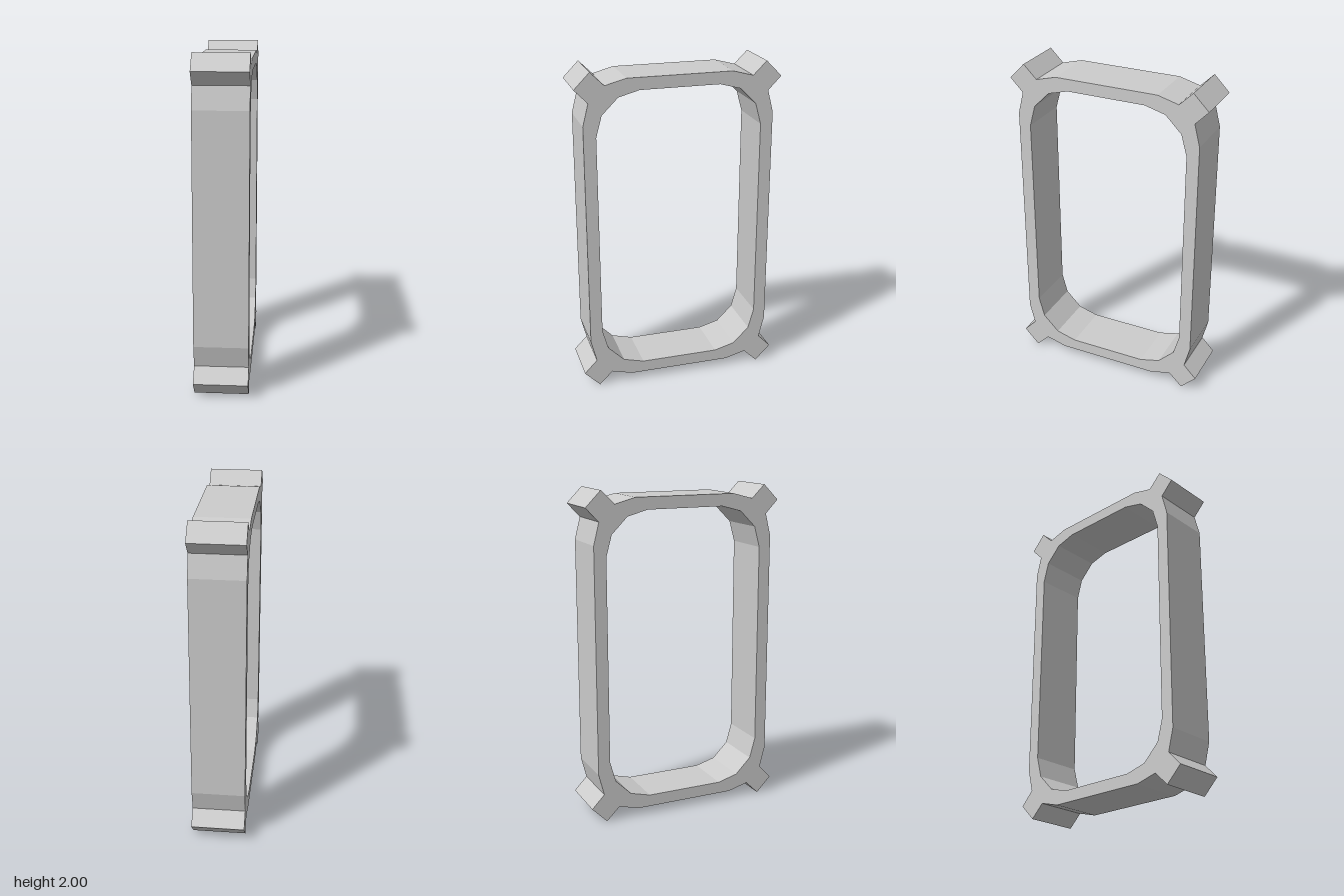
import * as THREE from 'three';

const WIDTH = 0.322;

// One corner of each contour as [z, y from centre], mirrored into all four quadrants.
const outerCorner = [[0.575, 0.69], [0.541, 0.823], [0.62, 0.905], [0.526, 1], [0.444, 0.919], [0.317, 0.953]];
const innerCorner = [[0.5, 0.621], [0.465, 0.748], [0.367, 0.846], [0.241, 0.88]];

function mirrorCorner(corner) {
  const back = [...corner].reverse();
  const place = (points, sz, sy) => points.map(([z, y]) => new THREE.Vector2(sz * z, sy * y));
  return [
    ...place(corner, 1, 1),
    ...place(back, -1, 1),
    ...place(corner, -1, -1),
    ...place(back, 1, -1),
  ];
}

export function createModel() {
  const group = new THREE.Group();
  group.name = 'loopFrame';

  // Rounded band with a diagonal lug at each corner
  const shape = new THREE.Shape(mirrorCorner(outerCorner));
  shape.holes.push(new THREE.Path(mirrorCorner(innerCorner)));
  const geometry = new THREE.ExtrudeGeometry(shape, { depth: WIDTH, bevelEnabled: false });
  geometry.translate(0, 0, -WIDTH / 2).rotateY(-Math.PI / 2).translate(0, 1, 0);

  const material = new THREE.MeshStandardMaterial({ color: 0xcccccc, flatShading: true });
  const frame = new THREE.Mesh(geometry, material);
  frame.name = 'frameWithCornerLugs';
  group.add(frame);
  return group;
}
